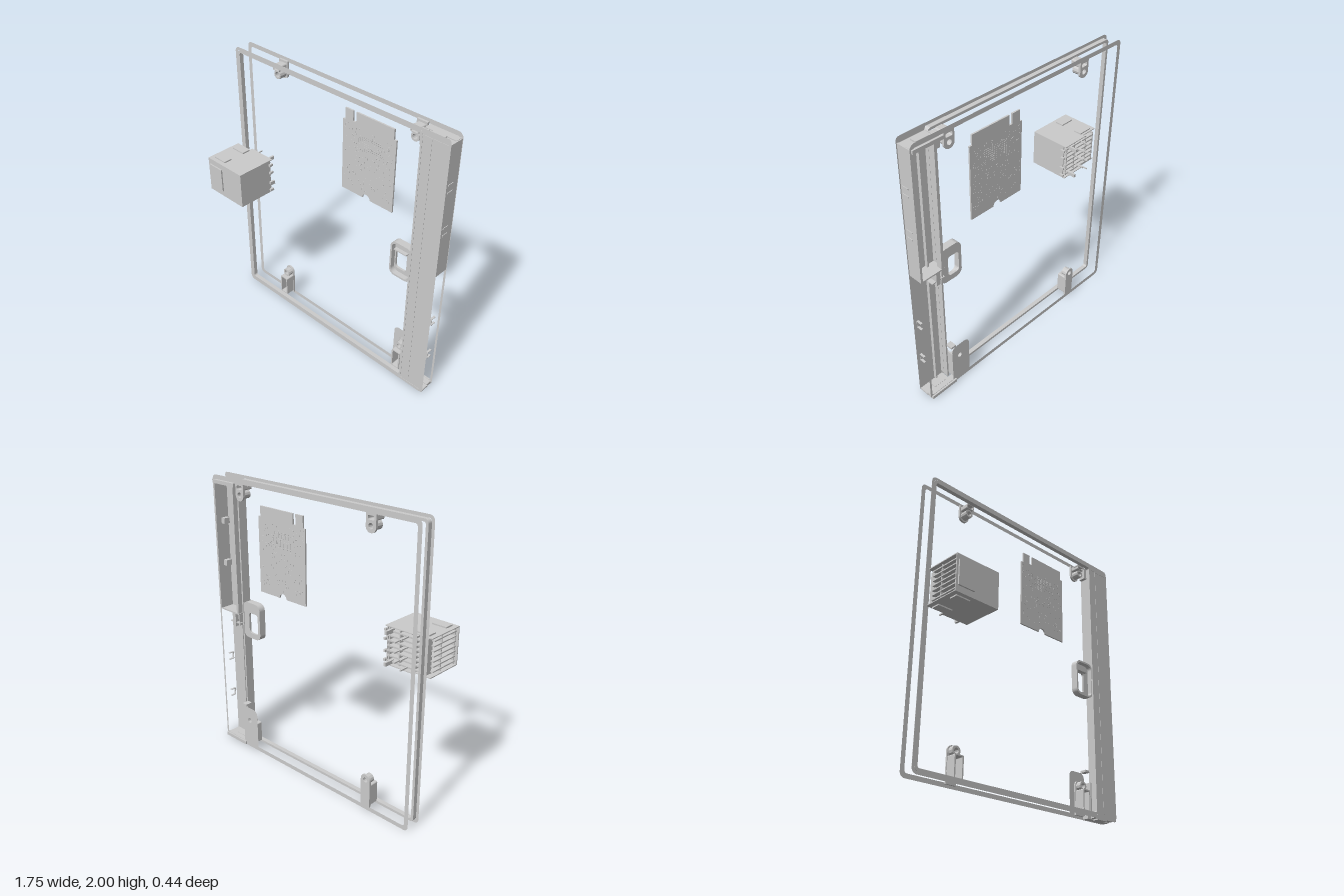
import * as THREE from 'three';
import { mergeGeometries } from 'three/addons/utils/BufferGeometryUtils.js';

const mat = new THREE.MeshStandardMaterial({ color: 0xcccccc, side: THREE.DoubleSide, flatShading: true });
const BACK = -0.21, FRONT = -0.1;

// Rounded rectangle from corner to corner, with radii for bottom and top corners
function roundRect(T, x0, y0, x1, y1, rb, rt = rb) {
  const s = new T();
  s.moveTo(x0 + rb, y0);
  s.lineTo(x1 - rb, y0);
  if (rb) s.absarc(x1 - rb, y0 + rb, rb, -Math.PI / 2, 0);
  s.lineTo(x1, y1 - rt);
  if (rt) s.absarc(x1 - rt, y1 - rt, rt, 0, Math.PI / 2);
  s.lineTo(x0 + rt, y1);
  if (rt) s.absarc(x0 + rt, y1 - rt, rt, Math.PI / 2, Math.PI);
  s.lineTo(x0, y0 + rb);
  if (rb) s.absarc(x0 + rb, y0 + rb, rb, Math.PI, Math.PI * 1.5);
  return s;
}
const outline = (...a) => roundRect(THREE.Shape, ...a);
const cut = (...a) => roundRect(THREE.Path, ...a);
const hole = (x, y, r) => new THREE.Path().absarc(x, y, r, 0, Math.PI * 2);

export function createModel() {
  const model = new THREE.Group();
  model.name = 'panelAssembly';

  const add = (parent, name, geo) => {
    const m = new THREE.Mesh(geo, mat);
    m.name = name;
    parent.add(m);
    return m;
  };
  const group = (name) => {
    const g = new THREE.Group();
    g.name = name;
    model.add(g);
    return g;
  };
  const boxGeo = (x0, x1, y0, y1, z0, z1) =>
    new THREE.BoxGeometry(x1 - x0, y1 - y0, z1 - z0).translate((x0 + x1) / 2, (y0 + y1) / 2, (z0 + z1) / 2);
  const box = (parent, name, ...b) => add(parent, name, boxGeo(...b));
  // Flat sheet at z
  const sheet = (parent, name, shape, holes, z) => {
    shape.holes.push(...holes);
    return add(parent, name, new THREE.ShapeGeometry(shape, 6).translate(0, 0, z));
  };
  // Solid between z0 and z1
  const solid = (parent, name, shape, holes, z0, z1) => {
    shape.holes.push(...holes);
    const g = new THREE.ExtrudeGeometry(shape, { depth: z1 - z0, bevelEnabled: false, curveSegments: 6 });
    return add(parent, name, g.translate(0, 0, z0));
  };

  // Thin front and back rims with the raised inner lip
  const frame = group('frame');
  sheet(frame, 'backRim', outline(-0.875, 0.005, 0.875, 2, 0.035), [cut(-0.845, 0.035, 0.86, 1.97, 0.02)], BACK);
  sheet(frame, 'frontRim', outline(-0.875, 0.005, 0.875, 2, 0.035), [cut(-0.855, 0.025, 0.86, 1.98, 0.02)], FRONT);
  solid(frame, 'innerLip', outline(-0.855, 0.025, 0.685, 1.98, 0.025), [cut(-0.837, 0.043, 0.672, 1.963, 0.015)], -0.13, FRONT);

  // Side bar: front plate, inner wall and half-height outer wall
  const bar = group('sideBar');
  sheet(bar, 'barPlate', outline(0.675, 0.005, 0.875, 2, 0.02), [], FRONT - 0.002);
  box(bar, 'barInnerWall', 0.672, 0.684, 0.04, 1.965, -0.165, FRONT);
  box(bar, 'barOuterWall', 0.862, 0.872, 1.045, 1.965, BACK, -0.105);
  box(bar, 'barUpperChannel', 0.685, 0.705, 1.045, 1.95, -0.2, -0.16);
  box(bar, 'barRib', 0.74, 0.75, 0.04, 1.95, -0.125, FRONT);
  for (const y of [0.02, 1.955]) {
    box(bar, 'barEndCap', 0.68, 0.87, y - 0.006, y + 0.006, -0.17, FRONT);
    box(bar, 'barEndBlock', 0.65, 0.865, y - 0.012, y + 0.012, -0.222, -0.165);
    box(bar, 'barEndStep', 0.71, 0.8, y - 0.015, y + 0.015, -0.17, -0.125);
  }
  // Snap clips inside the wall, and their open loops below it
  for (const y of [1.675, 1.375]) {
    box(bar, 'snapClip', 0.83, 0.864, y - 0.02, y + 0.02, -0.165, -0.12);
    for (const s of [-1, 1]) box(bar, 'clipSlit', 0.868, 0.876, y + s * 0.026 - 0.005, y + s * 0.026 + 0.005, -0.167, -0.12);
  }
  for (const y of [0.65, 0.35]) {
    for (const s of [-1, 1]) box(bar, 'clipArm', 0.855, 0.87, y + s * 0.025 - 0.002, y + s * 0.025 + 0.002, -0.165, -0.125);
    box(bar, 'clipBack', 0.855, 0.87, y - 0.025, y + 0.025, -0.128, -0.125);
  }
  // Latch bracket in the middle of the bar
  box(bar, 'latchShelf', 0.68, 0.865, 1.035, 1.045, -0.2, -0.105);
  box(bar, 'latchLowerShelf', 0.68, 0.78, 0.965, 0.972, -0.195, -0.11);
  box(bar, 'latchPost', 0.72, 0.75, 0.94, 1.035, -0.2, -0.15);
  box(bar, 'latchFin', 0.69, 0.7, 0.95, 1.04, -0.19, -0.11);

  // Pull loop beside the bar
  const loop = group('pullLoop');
  const loopShape = (i) => outline(0.51 + i, 0.87 + i, 0.68, 1.135 - i, 0.045 - i);
  solid(loop, 'loopBody', loopShape(0), [cut(0.523, 0.883, 0.667, 1.122, 0.035)], -0.16, -0.11);
  solid(loop, 'loopInnerEdge', loopShape(0.01), [cut(0.532, 0.91, 0.62, 1.06, 0.02)], -0.16, -0.145);
  box(loop, 'loopBar', 0.53, 0.63, 1.06, 1.068, -0.16, -0.12);

  // Screw tabs on the back rim
  const topTab = (x) => {
    const g = group('topTab');
    const h = () => [hole(x, 1.897, 0.02), cut(x - 0.024, 1.932, x + 0.024, 1.958, 0.008)];
    solid(g, 'tabPlate', outline(x - 0.038, 1.857, x + 0.038, 1.98, 0.036, 0), h(), BACK, BACK + 0.015);
    solid(g, 'tabBoss', new THREE.Shape().absarc(x, 1.897, 0.03, 0, Math.PI * 2), [hole(x, 1.897, 0.018)], BACK, -0.14);
    solid(g, 'tabSleeve', outline(x - 0.03, 1.927, x + 0.03, 1.966, 0.01), [cut(x - 0.024, 1.932, x + 0.024, 1.96, 0.008)], BACK, -0.13);
  };
  const bottomTab = (x) => {
    const g = group('bottomTab');
    solid(g, 'tabPlate', outline(x - 0.038, 0.025, x + 0.038, 0.265, 0, 0.036), [hole(x, 0.225, 0.02)], BACK, BACK + 0.012);
    solid(g, 'tabBoss', new THREE.Shape().absarc(x, 0.225, 0.032, 0, Math.PI * 2), [hole(x, 0.225, 0.018)], BACK, -0.16);
    solid(g, 'tabSleeve', outline(x - 0.035, 0.04, x + 0.035, 0.195, 0.008), [cut(x - 0.025, 0.05, x + 0.025, 0.187, 0.006)], BACK, -0.13);
  };
  for (const x of [-0.52, 0.605]) {
    topTab(x);
    bottomTab(x);
  }
  const corner = group('cornerSupport');
  sheet(corner, 'cornerFlag', outline(0.52, 0.025, 0.67, 0.33, 0, 0.04), [hole(0.605, 0.225, 0.02)], BACK);
  box(corner, 'cornerRib', 0.635, 0.675, 0.33, 0.345, BACK, -0.16);
  box(corner, 'cornerWall', 0.645, 0.655, 0.04, 0.25, BACK, -0.13);
  box(corner, 'topCornerRib', 0.645, 0.67, 1.87, 1.96, -0.18, -0.13);
  box(corner, 'topCornerWeb', 0.57, 0.67, 1.95, 1.96, -0.17, -0.13);

  // Circuit board with edge fingers, a bottom notch and small components
  const board = group('circuitBoard');
  const b = new THREE.Shape();
  b.moveTo(0.02, 1.27);
  b.lineTo(0.2, 1.27);
  b.absarc(0.23, 1.27, 0.032, Math.PI, 0, true);
  [[0.445, 1.27], [0.445, 1.785], [0.425, 1.785], [0.425, 1.855], [0.127, 1.855], [0.127, 1.785],
    [0.102, 1.785], [0.102, 1.855], [0.037, 1.855], [0.037, 1.775], [0.02, 1.775]].forEach((p) => b.lineTo(...p));
  solid(board, 'boardPlate', b, [], -0.194, -0.183);
  let seed = 7;
  const rnd = () => (seed = (seed * 16807) % 2147483647) / 2147483647;
  const chips = [];
  for (let i = 0; i < 260; i++) {
    const x = 0.03 + rnd() * 0.4, y = 1.32 + rnd() * 0.44, r = 0.002 + rnd() * 0.002;
    chips.push(boxGeo(x - r, x + r, y - r, y + r, -0.1955, -0.1815));
  }
  for (let i = 0; i < 12; i++) for (let j = 0; j < 8; j++) {
    const x = 0.15 + i * 0.016, y = 1.61 + j * 0.014;
    chips.push(boxGeo(x - 0.003, x + 0.003, y - 0.003, y + 0.003, -0.1955, -0.1815));
  }
  add(board, 'boardComponents', mergeGeometries(chips));

  // Shielded jack: thin shell open at the back and at the outer side
  const jack = group('jack');
  const [X0, X1, Y0, Y1, Z0, Z1] = [-0.878, -0.545, 1.022, 1.272, -0.085, 0.205];
  box(jack, 'shellFront', X0, X1, Y0, Y1, Z1 - 0.006, Z1);
  box(jack, 'shellEnd', X1 - 0.006, X1, Y0, Y1, Z0 + 0.02, Z1);
  for (const [y, s] of [[Y1, 1], [Y0, -1]]) {
    box(jack, 'shellPlate', X0, X1, y - 0.003, y + 0.003, -0.065, Z1);
    box(jack, 'shellPlateFlap', -0.75, X1, y - 0.003, y + 0.003, Z0, -0.06);
    for (const z of [-0.02, 0.145]) box(jack, 'springPad', -0.845, -0.74, y - 0.008 + s * 0.004, y + 0.008 + s * 0.004, z - 0.03, z + 0.03);
  }
  box(jack, 'frontSpringPad', -0.863, -0.737, 1.062, 1.235, Z1, Z1 + 0.01);
  // Insulator with slats towards both openings
  box(jack, 'insulator', -0.72, -0.57, Y0 + 0.015, Y1 - 0.015, -0.04, 0.19);
  for (let i = 0; i < 7; i++) {
    const y = Y0 + 0.025 + i * 0.033;
    box(jack, 'backSlat', -0.84, -0.56, y - 0.005, y + 0.005, -0.08, -0.02);
    box(jack, 'portSlat', -0.87, -0.7, y - 0.004, y + 0.004, -0.03, 0.19);
    box(jack, 'contactPin', -0.72 + (i % 2) * 0.05, -0.712 + (i % 2) * 0.05, y - 0.004, y + 0.004, -0.145, -0.03);
  }
  for (const x of [-0.845, -0.77, -0.65, -0.57]) box(jack, 'backDivider', x - 0.004, x + 0.004, Y0 + 0.01, Y1 - 0.01, -0.075, -0.02);
  for (const z of [0.05, 0.185]) box(jack, 'portDivider', -0.865, -0.72, Y0 + 0.005, Y1 - 0.005, z - 0.003, z + 0.003);
  // Bent tails at the inner end
  for (const y of [1.04, 1.1, 1.18, 1.24]) box(jack, 'endTab', X1, X1 + 0.014, y - 0.008, y + 0.008, -0.08, -0.05);
  for (const y of [1.045, 1.25]) box(jack, 'groundLeg', -0.6, -0.585, y - 0.012, y + 0.012, -0.14, -0.06);

  return model;
}
